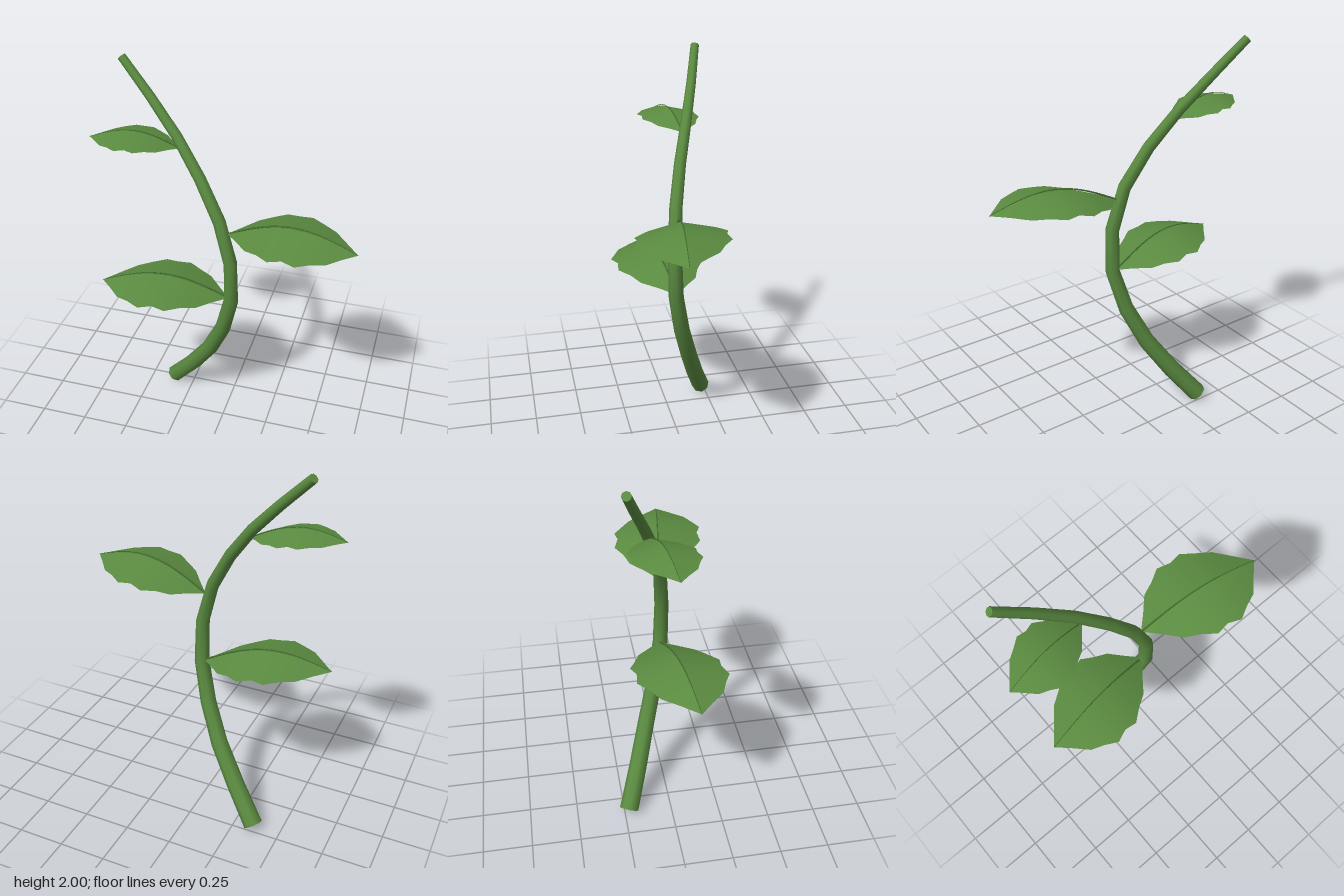
import * as THREE from 'three';

const green = new THREE.MeshStandardMaterial({ color: 0x5a8a40, side: THREE.DoubleSide });
green.name = 'leafGreen';
const darkGreen = new THREE.MeshStandardMaterial({ color: 0x45702f, side: THREE.DoubleSide });
darkGreen.name = 'veinGreen';

const SEGMENTS = 10;
const SIDES = 8;
// Half width of the serrated leaf at each station, base to tip
const HALF_WIDTHS = [0, 0.07, 0.147, 0.18, 0.225, 0.21, 0.228, 0.185, 0.15, 0.073, 0];

function addMesh(parent, name, geometry, material) {
  const mesh = new THREE.Mesh(geometry, material);
  mesh.name = name;
  parent.add(mesh);
  return mesh;
}

// Tube whose rings are scaled from r0 to r1 along the curve
function taperedTube(curve, segments, sides, r0, r1) {
  const geometry = new THREE.TubeGeometry(curve, segments, 1, sides, false);
  const pos = geometry.attributes.position;
  const v = new THREE.Vector3();
  for (let i = 0; i <= segments; i++) {
    const centre = curve.getPointAt(i / segments);
    const r = THREE.MathUtils.lerp(r0, r1, i / segments);
    for (let j = 0; j <= sides; j++) {
      const k = i * (sides + 1) + j;
      v.fromBufferAttribute(pos, k).sub(centre).multiplyScalar(r).add(centre);
      pos.setXYZ(k, v.x, v.y, v.z);
    }
  }
  return geometry;
}

// Flat disc fitted to one end ring of a tube
function endCap(tube, ring, centre) {
  const cap = new THREE.CircleGeometry(1, SIDES);
  const pos = cap.attributes.position;
  const src = tube.attributes.position;
  pos.setXYZ(0, centre.x, centre.y, centre.z);
  for (let j = 0; j <= SIDES; j++) {
    const k = ring * (SIDES + 1) + j;
    pos.setXYZ(j + 1, src.getX(k), src.getY(k), src.getZ(k));
  }
  cap.computeVertexNormals();
  return cap;
}

// Height and sideways drift of the arched midrib
const ribPoint = (t, lift = 0) => new THREE.Vector3(
  0.66 * t,
  0.05 * t + (0.085 + lift) * Math.sin(Math.PI * t),
  0.09 * t
);

// One half blade, sloping down from the midrib to the serrated edge
function halfBlade(side) {
  const geometry = new THREE.PlaneGeometry(1, 1, SEGMENTS, 1);
  const pos = geometry.attributes.position;
  for (let i = 0; i <= SEGMENTS; i++) {
    const p = ribPoint(i / SEGMENTS);
    const w = HALF_WIDTHS[i];
    const outer = [p.x, p.y - w * 0.23, p.z + side * w];
    const rib = [p.x, p.y, p.z];
    const [back, front] = side > 0 ? [rib, outer] : [outer, rib];
    pos.setXYZ(i, ...back);
    pos.setXYZ(i + SEGMENTS + 1, ...front);
  }
  geometry.computeVertexNormals();
  return geometry;
}

function makeLeaf(name, base, direction, scale) {
  const leaf = new THREE.Group();
  leaf.name = name;
  addMesh(leaf, 'frontBlade', halfBlade(1), green);
  addMesh(leaf, 'backBlade', halfBlade(-1), green);
  // Slender midrib just above the blade
  const points = [];
  for (let i = 0; i <= SEGMENTS; i++) points.push(ribPoint(i / SEGMENTS, 0.01));
  const rib = new THREE.CatmullRomCurve3(points);
  addMesh(leaf, 'midrib', taperedTube(rib, 16, 5, 0.005, 0.0015), darkGreen);
  leaf.position.set(...base);
  leaf.scale.set(direction * scale, scale, scale);
  return leaf;
}

export function createModel() {
  const model = new THREE.Group();
  model.name = 'plantSprig';

  // Curved stem, thick at the foot and thin at the tip
  const path = new THREE.CatmullRomCurve3([
    [-0.36, 0.035, -0.228], [-0.22, 0.22, -0.155], [-0.092, 0.42, -0.088],
    [-0.005, 0.62, -0.03], [0.045, 0.82, 0.008], [0.047, 1.015, 0.015],
    [0.003, 1.22, 0.005], [-0.09, 1.41, -0.03], [-0.222, 1.605, -0.092],
    [-0.385, 1.79, -0.16], [-0.575, 1.985, -0.228],
  ].map((p) => new THREE.Vector3(...p)));
  const stem = taperedTube(path, SEGMENTS, SIDES, 0.05, 0.022);
  addMesh(model, 'stem', stem, green);
  addMesh(model, 'stemFoot', endCap(stem, 0, path.getPointAt(0)), green);
  addMesh(model, 'stemTip', endCap(stem, SEGMENTS, path.getPointAt(1)), green);

  // Three leaves on alternating sides
  model.add(makeLeaf('lowerLeaf', [0.03, 0.83, 0.0], -1, 1));
  model.add(makeLeaf('middleLeaf', [0.02, 1.22, 0.0], 1, 1));
  model.add(makeLeaf('upperLeaf', [-0.245, 1.607, -0.09], -1, 0.67));

  return model;
}
